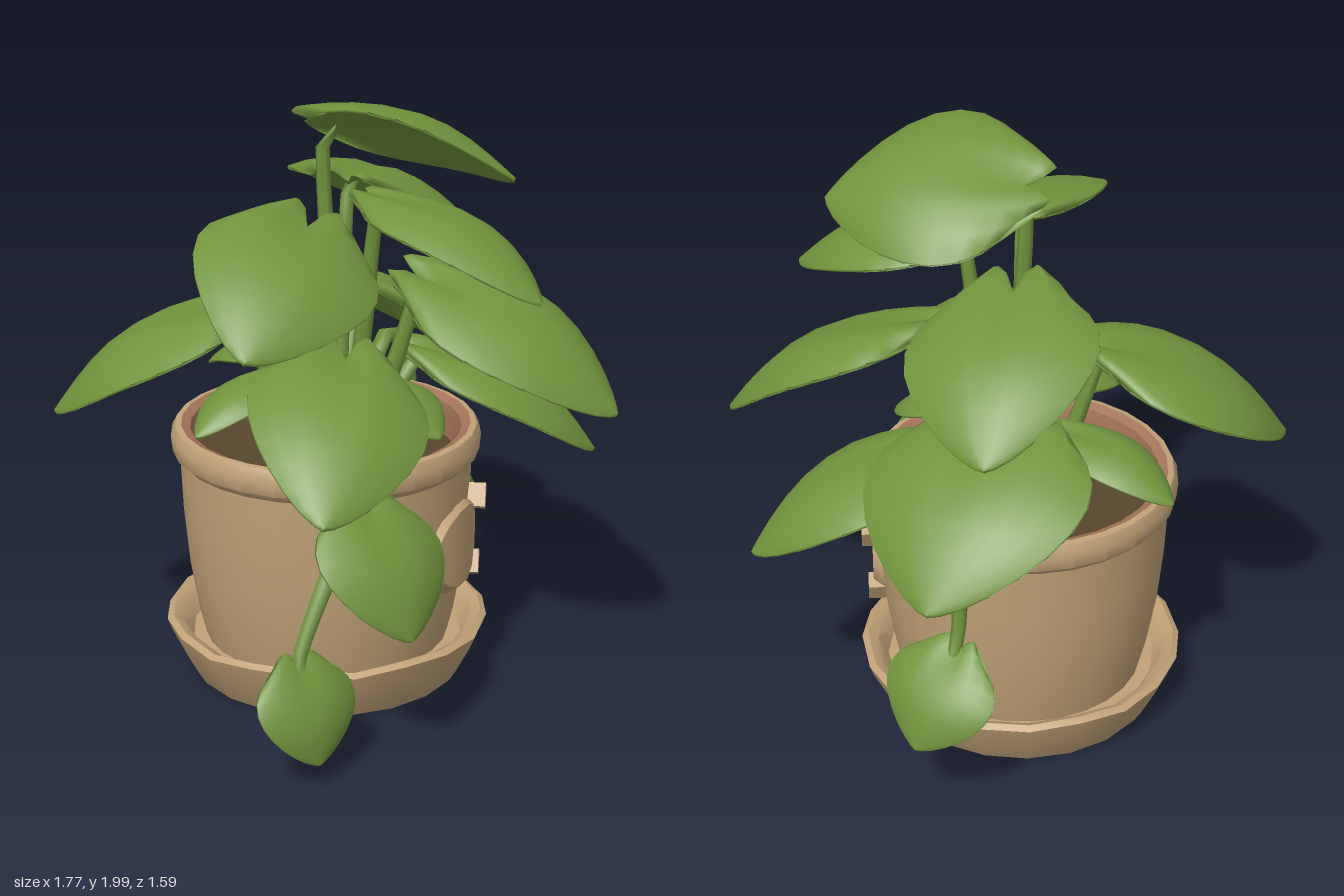
import * as THREE from 'three';
import { toCreasedNormals } from 'three/addons/utils/BufferGeometryUtils.js';

const V = (a) => new THREE.Vector3(...a);

const mat = (name, color) => {
  const m = new THREE.MeshStandardMaterial({ color });
  m.name = name;
  return m;
};

// Half-width of a leaf along its length (0 = stem end, 1 = tip)
const outline = (u) => Math.abs(Math.sin(Math.PI * (0.04 + 0.96 * u) ** 0.75)) ** 0.7;

// Heart-shaped, domed leaf with some thickness: one closed ring per row
function leafGeometry(base, tip, width, roll) {
  const axis = tip.clone().sub(base);
  const L = axis.length();
  axis.normalize();
  const side = new THREE.Vector3(axis.z, 0, -axis.x).normalize().applyAxisAngle(axis, roll);
  const up = axis.clone().cross(side);
  const rows = 12, n = 8, ring = 2 * (n + 1), pos = [], idx = [];
  const thick = 0.014 + 0.022 * L;
  for (let i = 0; i <= rows; i++) {
    const u = 0.5 - 0.5 * Math.cos((Math.PI * i) / rows), w = outline(u);
    for (let k = 0; k < ring; k++) {
      const top = k <= n;
      const s = top ? -1 + (2 * k) / n : 1 - (2 * (k - n - 1)) / n;
      const lobe = -0.16 * Math.sin(Math.PI * Math.abs(s)) * (1 - u) ** 3;
      const dome = 0.15 * L * Math.sin(Math.PI * u) * (1 - 0.4 * s * s) - 0.06 * width * s * s * w;
      const crease = -0.02 * L * Math.max(0, 1 - Math.abs(s) * 4) * (1 - u);
      const h = (i ? thick : 0) * (1 - 0.6 * s * s) * (1 - 0.5 * u) * (top ? 0.5 : -0.5);
      const p = base.clone()
        .addScaledVector(axis, L * (u + lobe))
        .addScaledVector(side, 0.5 * width * w * s)
        .addScaledVector(up, dome + crease + h);
      pos.push(p.x, p.y, p.z);
      if (i < rows) {
        const a = i * ring + k, b = i * ring + ((k + 1) % ring);
        idx.push(a, a + ring, b, b, a + ring, b + ring);
      }
    }
  }
  const g = new THREE.BufferGeometry();
  g.setAttribute('position', new THREE.Float32BufferAttribute(pos, 3));
  g.setIndex(idx);
  g.computeVertexNormals();
  return g;
}

// Tapered stalk through a few points
function stemGeometry(points, r0, r1) {
  const curve = new THREE.CatmullRomCurve3(points);
  const seg = 10, rad = 6;
  const g = new THREE.TubeGeometry(curve, seg, 1, rad);
  const p = g.attributes.position, v = new THREE.Vector3();
  for (let i = 0; i < p.count; i++) {
    const t = Math.floor(i / (rad + 1)) / seg;
    const c = curve.getPointAt(t);
    v.fromBufferAttribute(p, i).sub(c).multiplyScalar(r0 + (r1 - r0) * t).add(c);
    p.setXYZ(i, v.x, v.y, v.z);
  }
  return g;
}

// Stalk end, tip, width and roll of each leaf
const LEAVES = [
  { name: 'topLeaf', base: [-0.03, 1.88, -0.08], tip: [0.18, 1.76, 0.53], width: 0.63, roll: -0.47 },
  { name: 'frontUpperLeaf', base: [-0.01, 1.65, 0.14], tip: [0.05, 1.43, 0.75], width: 0.44, roll: -0.1 },
  { name: 'frontMiddleLeaf', base: [0.14, 1.37, 0.2], tip: [0.38, 1.0, 0.81], width: 0.58, roll: 0.15 },
  { name: 'rightUpperLeaf', base: [-0.28, 1.62, 0.08], tip: [-0.85, 1.37, 0.38], width: 0.58, roll: -0.36 },
  { name: 'rightLowerLeaf', base: [-0.24, 1.2, 0.2], tip: [-0.76, 0.89, 0.61], width: 0.57, roll: -0.23 },
  { name: 'leftUpperLeaf', base: [0.2, 1.64, -0.2], tip: [0.75, 1.36, -0.46], width: 0.6, roll: 0.15 },
  { name: 'leftLowerLeaf', base: [0.28, 1.24, -0.23], tip: [0.88, 0.88, -0.34], width: 0.74, roll: 0.08 },
  { name: 'leftFrontLeaf', base: [0.31, 1.05, 0.04], tip: [0.7, 0.71, 0.48], width: 0.51 },
  { name: 'backLeaf', base: [-0.24, 1.26, -0.28], tip: [-0.66, 0.9, -0.74], width: 0.66 },
  { name: 'smallBackLeaf', base: [-0.02, 1.05, -0.27], tip: [0, 0.93, -0.68], width: 0.27 },
  { name: 'smallSideLeaf', base: [-0.25, 1.07, -0.11], tip: [-0.6, 0.95, -0.11], width: 0.23 },
  { name: 'smallFrontLeaf', base: [-0.03, 1.05, 0.14], tip: [-0.03, 0.93, 0.42], width: 0.29 },
  { name: 'hangingLeafUpper', base: [-0.42, 0.82, 0.44], tip: [-0.47, 0.46, 0.7], width: 0.49, roll: -0.12, stalk: 'arch' },
  { name: 'hangingLeafLower', base: [-0.69, 0.37, 0.43], tip: [-0.72, 0.08, 0.55], width: 0.38, roll: -0.16, stalk: 'branch' },
  { name: 'hangingLeafLeft', base: [0.61, 0.56, -0.26], tip: [0.8, 0.28, -0.23], width: 0.4, roll: -0.13, stalk: 'arch' },
];

// Upright stalks rise from the soil, arched ones fall over the rim, a branch starts at the leaf before it
function stalkPath({ base: b, tip, stalk }, previous) {
  const base = V(b);
  const root = stalk === 'branch' ? V(previous.base) : new THREE.Vector3(-0.02 + b[0] * 0.32, 0.7, -0.05 + b[2] * 0.35);
  const end = base.clone().lerp(V(tip), 0.06);
  if (stalk === 'arch') {
    const rise = root.clone().lerp(base, 0.4).setY(1.04);
    const fall = root.clone().lerp(base, 0.75).setY(1.0);
    return [root, rise, fall, base, end];
  }
  const mid = root.clone().lerp(base, 0.55);
  mid.y += 0.04;
  return [root, mid, base, end];
}

export function createModel() {
  const model = new THREE.Group();
  const clay = mat('clay', 0xc1a278);
  const innerClay = mat('innerClay', 0xa5755a);
  const soilMat = mat('soil', 0x58472f);
  const leafMat = mat('leafGreen', 0x71943d);
  const add = (parent, name, geometry, material) => {
    const m = new THREE.Mesh(geometry, material);
    m.name = name;
    parent.add(m);
    return m;
  };
  const lathe = (pts, seg) => new THREE.LatheGeometry(pts.map((p) => new THREE.Vector2(...p)), seg);

  // Pot, saucer and soil share one centre
  const pot = new THREE.Group();
  pot.name = 'pot';
  pot.position.set(-0.03, 0, -0.09);
  model.add(pot);
  add(pot, 'potBody', toCreasedNormals(lathe([[0, 0.1], [0.41, 0.1], [0.435, 0.2], [0.465, 0.38], [0.483, 0.58],
    [0.49, 0.76], [0.515, 0.785], [0.52, 0.84], [0.505, 0.87], [0.485, 0.873]], 28), 0.7), clay);
  add(pot, 'potInside', toCreasedNormals(lathe([[0.485, 0.873], [0.455, 0.86], [0.445, 0.82], [0.44, 0.7]], 28), 0.7), innerClay);
  const soil = add(pot, 'soil', new THREE.CircleGeometry(0.445, 24), soilMat);
  soil.rotation.x = -Math.PI / 2;
  soil.position.y = 0.75;

  // Saucer with a slightly uneven hand-shaped rim
  const saucer = lathe([[0, 0], [0.46, 0], [0.485, 0.04], [0.535, 0.15], [0.55, 0.19], [0.53, 0.203],
    [0.495, 0.185], [0.46, 0.12], [0, 0.12]], 20);
  const sp = saucer.attributes.position;
  for (let i = 0; i < sp.count; i++) {
    if (sp.getY(i) < 0.14) continue;
    const a = Math.atan2(sp.getX(i), sp.getZ(i));
    sp.setY(i, sp.getY(i) - 0.008 * (1 + Math.sin(a * 7)));
  }
  add(pot, 'saucer', toCreasedNormals(saucer, 0.6), clay);

  // Plain raised patch wrapped round the pot wall, with two small nubs
  const patch = new THREE.RingGeometry(0.001, 0.2, 14, 5);
  const pp = patch.attributes.position;
  for (let i = 0; i < pp.count; i++) {
    const x = pp.getX(i), y = pp.getY(i);
    const r = Math.hypot(x, y) > 0.18 ? 0.46 : 0.505;
    const a = 0.34 + x / 0.46;
    pp.setXYZ(i, r * Math.sin(a), 0.5 + y * 0.85, r * Math.cos(a));
  }
  add(pot, 'raisedPatch', toCreasedNormals(patch, 0.6), clay);
  for (const [x, y, z] of [[0.3, 0.62, 0.4], [0.27, 0.39, 0.4]]) {
    const nub = add(pot, 'patchNub', new THREE.BoxGeometry(0.06, 0.08, 0.08), clay);
    nub.position.set(x, y, z);
    nub.rotation.set(0, 0.65, -0.5);
  }

  // Leaves, each on its own stalk
  LEAVES.forEach((leaf, i) => {
    const plant = new THREE.Group();
    plant.name = leaf.name;
    model.add(plant);
    add(plant, 'leafBlade', leafGeometry(V(leaf.base), V(leaf.tip), leaf.width, leaf.roll ?? 0), leafMat);
    add(plant, 'stalk', stemGeometry(stalkPath(leaf, LEAVES[i - 1]), 0.036, 0.022), leafMat);
  });

  return model;
}
